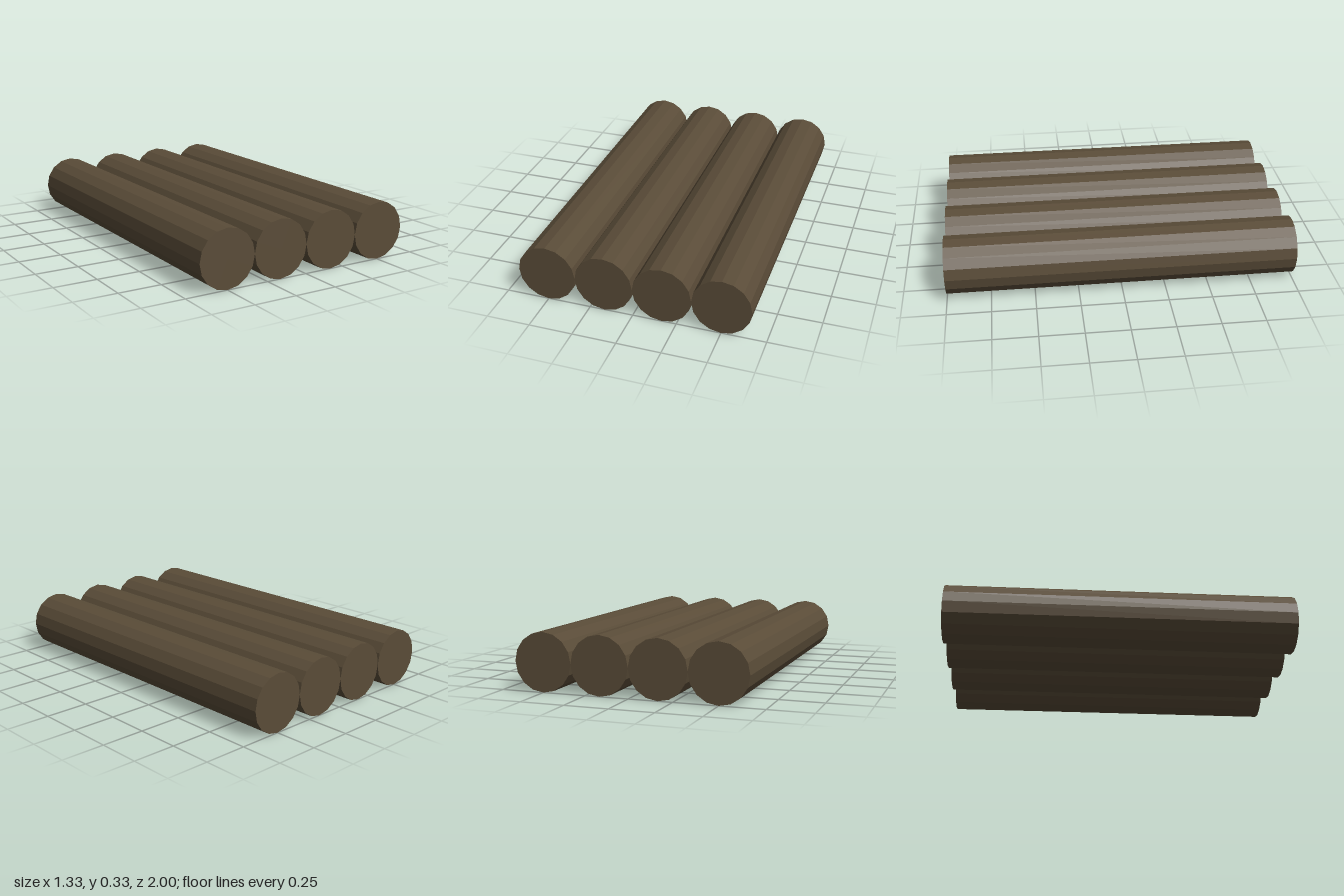
import * as THREE from 'three';

export function createModel() {
  const group = new THREE.Group();
  group.name = 'logRaft';
  const radius = 1 / 6, length = 2, count = 4;
  const wood = new THREE.MeshStandardMaterial({ color: 0x5a4c38, flatShading: true });

  // Sixteen-sided log lying along z
  const logGeometry = new THREE.CylinderGeometry(radius, radius, length, 16);
  logGeometry.rotateX(Math.PI / 2);

  // Row of logs touching side by side
  for (let i = 0; i < count; i++) {
    const log = new THREE.Mesh(logGeometry, wood);
    log.name = `log${i + 1}`;
    log.position.set((i - (count - 1) / 2) * radius * 2, radius, 0);
    group.add(log);
  }
  return group;
}
